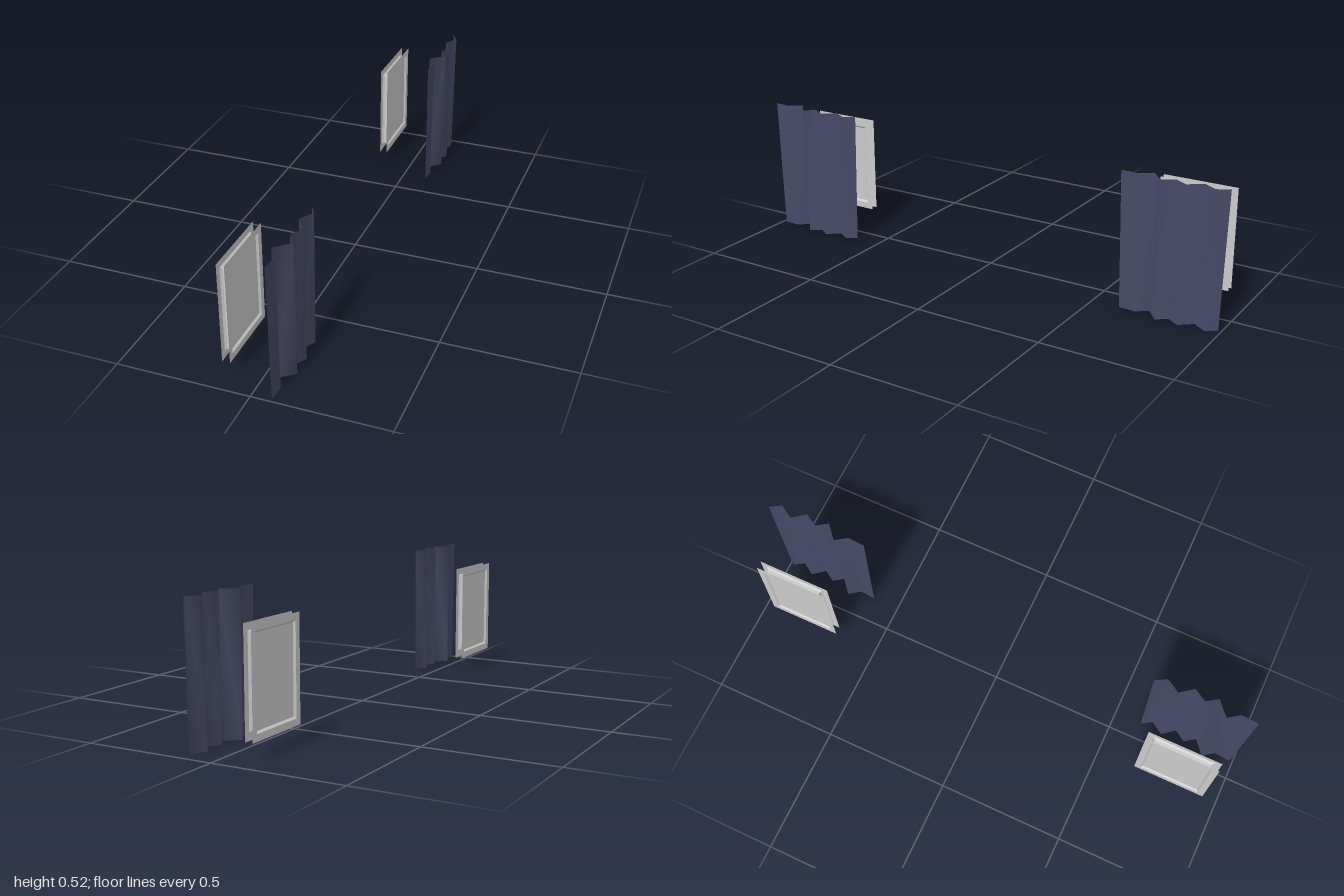
import * as THREE from 'three';

const grey = new THREE.MeshStandardMaterial({ color: 0xcccccc, side: THREE.DoubleSide, flatShading: true });
const cloth = new THREE.MeshStandardMaterial({ color: 0x474a67, side: THREE.DoubleSide });

const SPACING = 1.6; // distance between the two windows along z
const HEIGHT = 0.524;

// Pleated sheet: a zigzag in plan, slightly narrower at the hem
function curtainGeometry() {
  const pleats = [
    [0.066, 0.597], [0.092, 0.642], [0.060, 0.694], [0.099, 0.746], [0.070, 0.794],
    [0.100, 0.838], [0.045, 0.886], [0.077, 0.932], [0.073, 1.0],
  ];
  const midZ = 0.7985, hem = 0.94;
  const pos = [], index = [];
  pleats.forEach(([x, z], i) => {
    pos.push(x, 0, midZ + (z - midZ) * hem, x, HEIGHT, z);
    if (i === 0) return;
    const a = 2 * (i - 1);
    index.push(a, a + 1, a + 2, a + 1, a + 3, a + 2);
  });
  const g = new THREE.BufferGeometry();
  g.setAttribute('position', new THREE.Float32BufferAttribute(pos, 3));
  g.setIndex(index);
  g.computeVertexNormals();
  return g;
}

// Rectangular loops swept along x: flat rim, bevel, jamb, bevel, flat rim
function frameGeometry() {
  const half = [[0.0145, 0.193, 0.143], [0.0145, 0.167, 0.119], [0.0075, 0.16, 0.112]];
  const loops = [
    ...half.map(([x, h, w]) => [-x, h, w]),
    ...half.slice().reverse(),
  ];
  const pos = [], index = [];
  loops.forEach(([x, h, w], i) => {
    pos.push(x, -h, -w, x, h, -w, x, h, w, x, -h, w);
    if (i === 0) return;
    for (let k = 0; k < 4; k++) {
      const a = 4 * (i - 1) + k, b = 4 * (i - 1) + (k + 1) % 4;
      index.push(a, b, a + 4, b, b + 4, a + 4);
    }
  });
  const indexed = new THREE.BufferGeometry();
  indexed.setAttribute('position', new THREE.Float32BufferAttribute(pos, 3));
  indexed.setIndex(index);
  const g = indexed.toNonIndexed();
  g.computeVertexNormals();
  return g;
}

export function createModel() {
  const model = new THREE.Group();
  model.name = 'curtainedWindows';
  const curtainGeo = curtainGeometry();
  const frameGeo = frameGeometry();
  const paneGeo = new THREE.PlaneGeometry(0.224, 0.32);

  ['front', 'back'].forEach((place, i) => {
    // Curtain; the back one hangs a little further out
    const curtain = new THREE.Mesh(curtainGeo, cloth);
    curtain.name = place + 'Curtain';
    curtain.position.set(i * 0.027, 0, -i * 1.597);
    model.add(curtain);

    // Window: frame with a pane on each face
    const win = new THREE.Group();
    win.name = place + 'Window';
    win.position.set(-0.1125, 0.26, 0.797 - i * SPACING);
    const frame = new THREE.Mesh(frameGeo, grey);
    frame.name = 'windowFrame';
    win.add(frame);
    for (const s of [-1, 1]) {
      const pane = new THREE.Mesh(paneGeo, grey);
      pane.name = s > 0 ? 'innerPane' : 'outerPane';
      pane.rotation.y = s * Math.PI / 2;
      pane.position.x = s * 0.0075;
      win.add(pane);
    }
    model.add(win);
  });
  return model;
}
